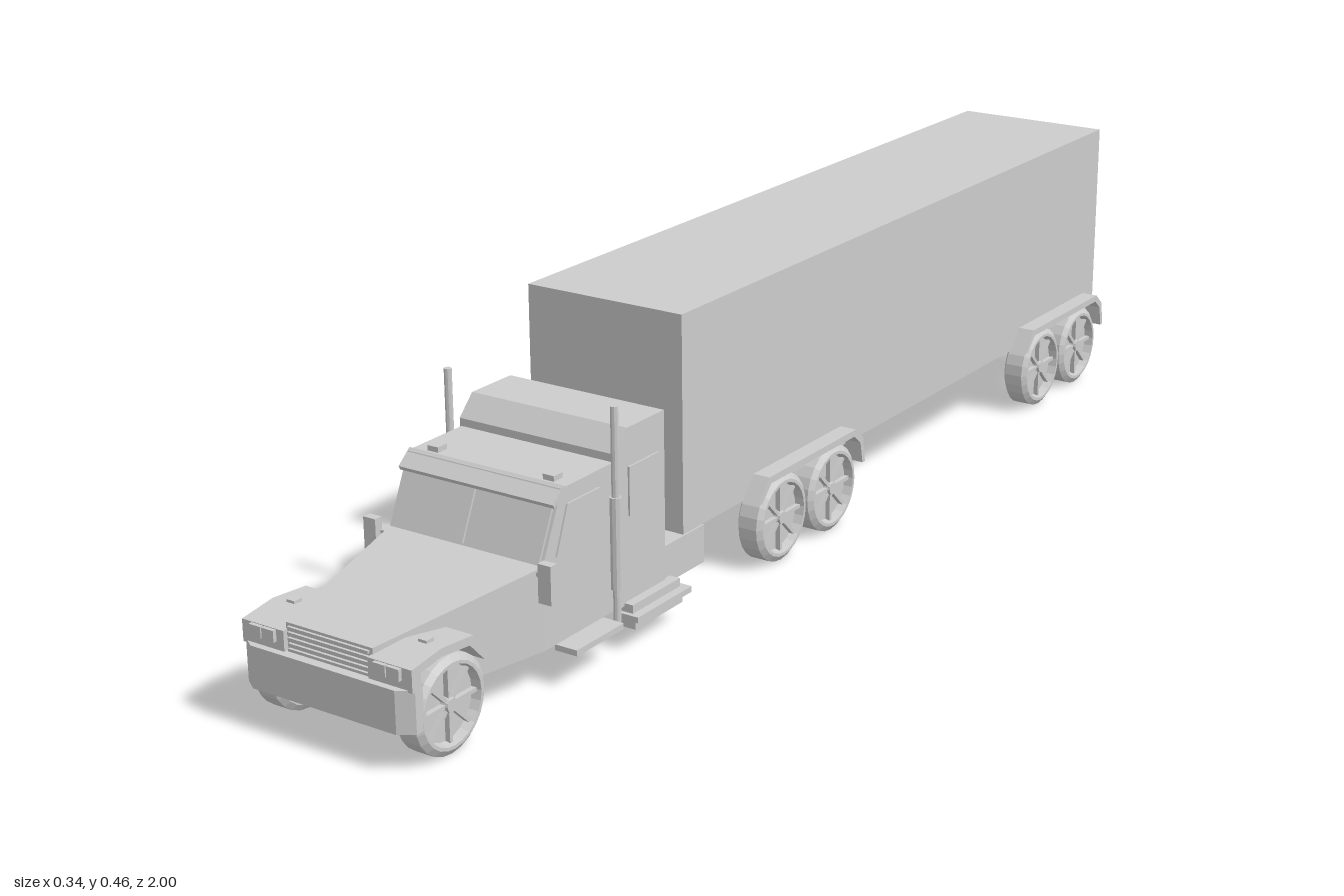
import * as THREE from 'three';

const paint = new THREE.MeshStandardMaterial({ color: 0xcccccc, flatShading: true });
paint.name = 'light grey';

function add(parent, name, geometry, x = 0, y = 0, z = 0) {
  const mesh = new THREE.Mesh(geometry, paint);
  mesh.name = name;
  mesh.position.set(x, y, z);
  parent.add(mesh);
  return mesh;
}

// Box given by its limits on each axis
function block(parent, name, [x0, x1], [y0, y1], [z0, z1]) {
  return add(parent, name, new THREE.BoxGeometry(x1 - x0, y1 - y0, z1 - z0),
    (x0 + x1) / 2, (y0 + y1) / 2, (z0 + z1) / 2);
}

// Side outline of [z, y] points, extruded from x0 to x1
function sideProfile(parent, name, points, x0, x1) {
  const shape = new THREE.Shape(points.map(([z, y]) => new THREE.Vector2(-z, y)));
  const g = new THREE.ExtrudeGeometry(shape, { depth: x1 - x0, bevelEnabled: false });
  g.rotateY(Math.PI / 2);
  return add(parent, name, g, x0);
}

// Calls build with x limits on the left, then on the right
function bothSides(inner, outer, build) {
  build(inner, outer, 1, 'left');
  build(-outer, -inner, -1, 'right');
}

// Tyre with a dished rim, hub and spokes; outer face towards side * x
function wheel(parent, name, x, z, side) {
  const g = new THREE.Group();
  g.name = name;
  const profile = [[0, -0.0225], [0.062, -0.0225], [0.071, -0.016], [0.071, 0.016], [0.062, 0.0225],
    [0.057, 0.0225], [0.054, 0.008], [0, 0.008]].map(([r, y]) => new THREE.Vector2(r, y));
  add(g, 'tyre', new THREE.LatheGeometry(profile, 24).rotateZ(-Math.PI / 2));
  add(g, 'hub', new THREE.CylinderGeometry(0.01, 0.012, 0.012, 12).rotateZ(-Math.PI / 2), 0.014);
  for (let i = 0; i < 8; i++) {
    const spoke = new THREE.BoxGeometry(0.008, 0.05, 0.006).translate(0.012, 0.03, 0);
    add(g, 'spoke', spoke.rotateX(i * Math.PI / 4));
  }
  g.position.set(x, 0.071, z);
  if (side < 0) g.rotation.y = Math.PI;
  parent.add(g);
}

function buildTrailer() {
  const trailer = new THREE.Group();
  trailer.name = 'trailer';
  block(trailer, 'cargoBox', [-0.146, 0.131], [0.12, 0.46], [-1, 0.36]);

  // Two tandem axles, each pair under an arched fender
  const arch = [[0.155, 0.118], [0.125, 0.155], [-0.13, 0.155], [-0.153, 0.135], [-0.16, 0.092],
    [-0.152, 0.092], [-0.145, 0.128], [-0.126, 0.144], [0.12, 0.144], [0.145, 0.118]];
  for (const zc of [0.045, -0.828]) {
    for (const [side, word, x0, x1] of [[1, 'left', 0.115, 0.16], [-1, 'right', -0.174, -0.13]]) {
      const points = arch.map(([z, y]) => [z + zc, y]);
      sideProfile(trailer, word + 'TrailerFender', points, x0, x1);
      for (const dz of [0.075, -0.073]) {
        wheel(trailer, word + 'TrailerWheel', side > 0 ? 0.133 : -0.149, zc + dz, side);
      }
    }
  }
  return trailer;
}

function buildTractor() {
  const tractor = new THREE.Group();
  tractor.name = 'tractor';
  tractor.position.x = -0.002;

  // Hood: a box narrowed and lowered towards the front
  const hood = new THREE.BoxGeometry(1, 1, 1);
  const p = hood.attributes.position;
  for (let i = 0; i < p.count; i++) {
    const front = p.getZ(i) > 0, top = p.getY(i) > 0;
    p.setXYZ(i, p.getX(i) * (front ? 0.15 : 0.272),
      top ? (front ? 0.163 : 0.19) : 0.065, front ? 0.982 : 0.7);
  }
  add(tractor, 'hood', hood);
  for (let i = 0; i < 5; i++) {
    const y = 0.123 + i * 0.008;
    block(tractor, 'grilleBar', [-0.07, 0.07], [y, y + 0.004], [0.98, 0.986]);
  }

  // Cab, sleeper and rear frame
  sideProfile(tractor, 'cab',
    [[0.7, 0.065], [0.7, 0.19], [0.655, 0.29], [0.53, 0.29], [0.53, 0.065]], -0.136, 0.136);
  sideProfile(tractor, 'sleeper',
    [[0.535, 0.065], [0.535, 0.302], [0.505, 0.333], [0.415, 0.333], [0.415, 0.065]], -0.139, 0.139);
  block(tractor, 'rearFrame', [-0.139, 0.136], [0.06, 0.12], [0.31, 0.42]);

  // Windshield panes lying on the slope, visor and roof lights
  const pane = [[0.699, 0.193], [0.703, 0.194], [0.67, 0.267], [0.666, 0.266]];
  bothSides(0.003, 0.131, (a, b, s, word) => sideProfile(tractor, word + 'Windshield', pane, a, b));
  sideProfile(tractor, 'sunVisor',
    [[0.645, 0.289], [0.65, 0.293], [0.675, 0.272], [0.672, 0.266], [0.655, 0.28]], -0.137, 0.137);
  bothSides(0.093, 0.112, (a, b, s, word) =>
    block(tractor, word + 'RoofLight', [a, b], [0.288, 0.298], [0.62, 0.64]));

  // Side windows
  bothSides(0.135, 0.139, (a, b, s, word) => sideProfile(tractor, word + 'DoorWindow',
    [[0.672, 0.195], [0.645, 0.265], [0.57, 0.265], [0.57, 0.195]], a, b));
  bothSides(0.138, 0.142, (a, b, s, word) =>
    block(tractor, word + 'SleeperWindow', [a, b], [0.2, 0.275], [0.432, 0.505]));

  // Bumper with angled corners, extruded upwards
  const plan = [[-0.147, 0.97], [0.147, 0.97], [0.147, 0.985], [0.125, 1], [-0.125, 1], [-0.147, 0.985]];
  const bumper = new THREE.ExtrudeGeometry(
    new THREE.Shape(plan.map(([x, z]) => new THREE.Vector2(x, -z))), { depth: 0.063, bevelEnabled: false });
  add(tractor, 'bumper', bumper.rotateX(-Math.PI / 2), 0, 0.06, 0);

  // Front fenders, lights and wheels
  const fender = [[0.99, 0.12], [0.99, 0.153], [0.93, 0.161], [0.865, 0.155], [0.832, 0.115],
    [0.844, 0.112], [0.873, 0.143], [0.93, 0.149], [0.972, 0.143], [0.972, 0.12]];
  bothSides(0.073, 0.147, (a, b, s, word) => {
    sideProfile(tractor, word + 'FrontFender', fender, a, b);
    wheel(tractor, word + 'FrontWheel', s * 0.125, 0.91, s);
  });
  for (const x of [0.086, 0.109]) {
    bothSides(x, x + 0.021, (a, b, s, word) =>
      block(tractor, word + 'Headlight', [a, b], [0.135, 0.152], [0.985, 0.996]));
  }
  bothSides(0.108, 0.122, (a, b, s, word) =>
    block(tractor, word + 'FenderLight', [a, b], [0.155, 0.165], [0.915, 0.93]));

  // Exhaust stacks, mirrors and steps
  for (const s of [1, -1]) {
    const x = s * 0.148;
    add(tractor, 'exhaustPipe', new THREE.CylinderGeometry(0.006, 0.006, 0.325, 10), x, 0.2175, 0.547);
    add(tractor, 'muffler', new THREE.CylinderGeometry(0.009, 0.009, 0.14, 10), x, 0.175, 0.547);
  }
  bothSides(0.144, 0.166, (a, b, s, word) => {
    block(tractor, word + 'Mirror', [a, b], [0.147, 0.205], [0.708, 0.722]);
    block(tractor, word + 'MirrorArm', [s > 0 ? 0.13 : -0.15, s > 0 ? 0.15 : -0.13], [0.18, 0.186], [0.688, 0.712]);
  });
  bothSides(0.13, 0.168, (a, b, s, word) => {
    block(tractor, word + 'CabStep', [a, b], [0.053, 0.062], [0.56, 0.67]);
    block(tractor, word + 'SleeperStep', [a, b], [0.048, 0.057], [0.39, 0.525]);
  });
  bothSides(0.13, 0.158, (a, b, s, word) => {
    block(tractor, word + 'SleeperStepBase', [a, b], [0.033, 0.05], [0.4, 0.518]);
    block(tractor, word + 'SleeperStepMount', [a, b - 0], [0.056, 0.07], [0.4, 0.518]).scale.x = 0.7;
  });
  return tractor;
}

export function createModel() {
  const model = new THREE.Group();
  model.name = 'truckWithTrailer';
  model.add(buildTractor(), buildTrailer());
  return model;
}
